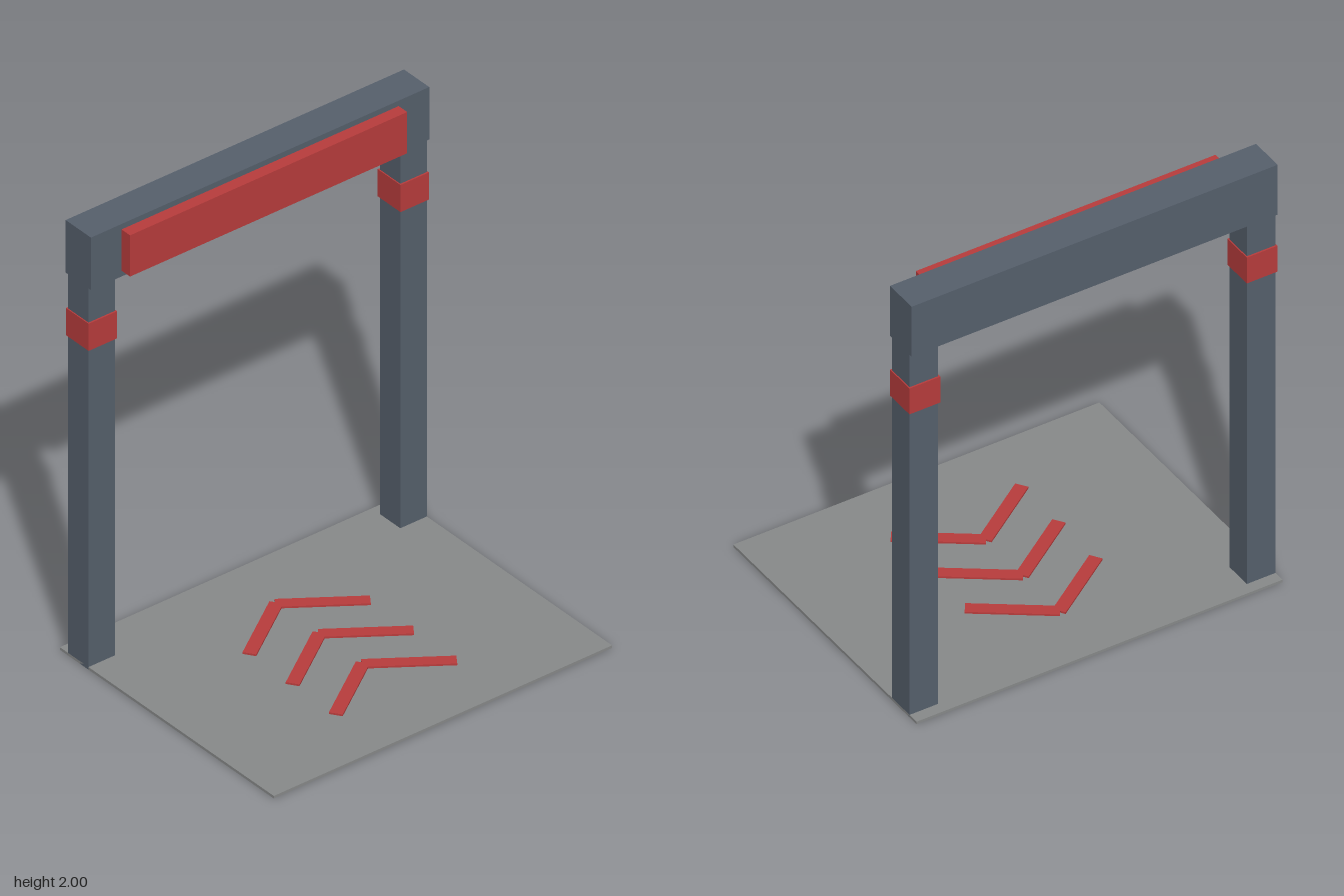
import * as THREE from 'three';

const steel = new THREE.MeshStandardMaterial({ color: 0x56606c });
const red = new THREE.MeshStandardMaterial({ color: 0xb83c3c });
const floor = new THREE.MeshStandardMaterial({ color: 0x888a8a });

function box(name, material, size, position) {
  const mesh = new THREE.Mesh(new THREE.BoxGeometry(...size), material);
  mesh.name = name;
  mesh.position.set(...position);
  return mesh;
}

export function createModel() {
  const model = new THREE.Group();
  model.name = 'gateway';
  const gateZ = -0.543;

  // Thin floor plate
  model.add(box('floorPlate', floor, [1.66, 0.012, 1.312], [0, 0.006, 0]));

  // Posts with a red band around each
  for (const [label, side] of [['left', 1], ['right', -1]]) {
    model.add(box(label + 'Post', steel, [0.13, 1.76, 0.125], [side * 0.765, 0.88, gateZ]));
    model.add(box(label + 'Band', red, [0.14, 0.125, 0.14], [side * 0.765, 1.538, gateZ]));
  }

  // Crossbeam and the sign panel on its front
  model.add(box('crossbeam', steel, [1.66, 0.242, 0.155], [0, 1.879, gateZ]));
  model.add(box('signPanel', red, [1.36, 0.19, 0.056], [0, 1.88, -0.441]));

  // Three floor chevrons pointing at the gate
  for (let i = -1; i <= 1; i++) {
    const chevron = new THREE.Group();
    chevron.name = 'chevron';
    chevron.position.set(0, 0.015, i * 0.265);
    for (const side of [1, -1]) {
      const bar = box('chevronBar', red, [0.366, 0.01, 0.055], [side * 0.147, 0, 0]);
      bar.rotation.y = -side * 0.61;
      chevron.add(bar);
    }
    model.add(chevron);
  }
  return model;
}
